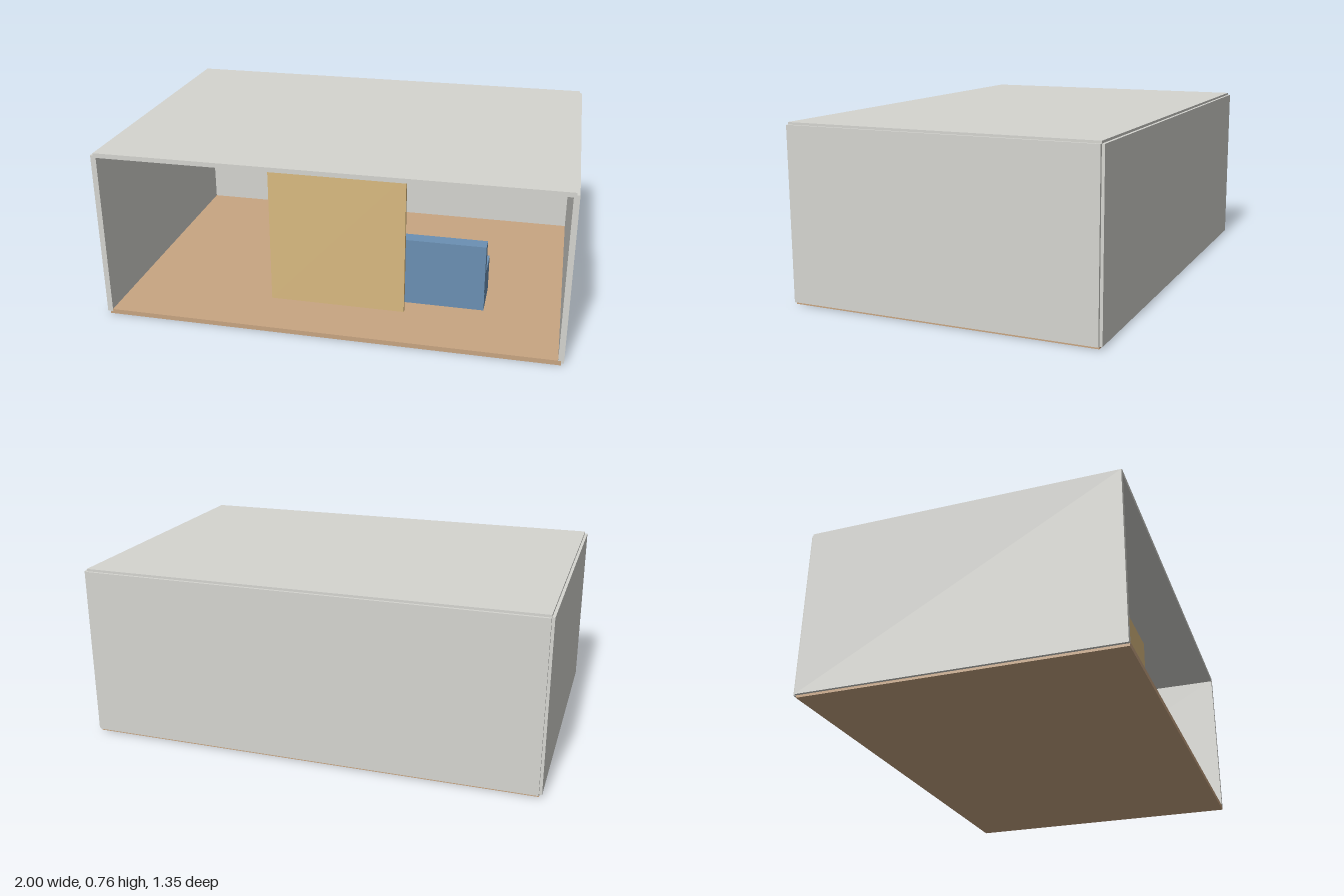
import * as THREE from 'three';

export function createModel() {
  const model = new THREE.Group();
  const paint = (color) => new THREE.MeshStandardMaterial({ color });
  const wall = paint(0xd5d5d0);
  const wood = paint(0xc8a582);
  const yellow = paint(0xdaba80);
  const blue = paint(0x6b90b4);
  const green = paint(0x4c7d72);

  // Box given by its [min, max] extent on each axis
  function block(name, [x0, x1], [y0, y1], [z0, z1], material, parent = model) {
    const mesh = new THREE.Mesh(new THREE.BoxGeometry(x1 - x0, y1 - y0, z1 - z0), material);
    mesh.position.set((x0 + x1) / 2, (y0 + y1) / 2, (z0 + z1) / 2);
    mesh.name = name;
    parent.add(mesh);
  }

  // Room shell, open at the front; panels meet on their centre lines
  const X = 0.988, BACK = -0.664, FRONT = 0.676, T = 0.012;
  block('floor', [-X, X], [0, 0.021], [BACK, FRONT], wood);
  block('ceiling', [-X, X], [0.742, 0.762], [BACK, FRONT], wall);
  block('backWall', [-X, X], [0.0105, 0.752], [BACK - T, BACK + T], wall);
  for (const [name, side] of [['leftWall', 1], ['rightWall', -1]]) {
    block(name, [side * X - T, side * X + T], [0.0105, 0.752], [BACK, FRONT], wall);
  }

  // Upright partition panel near the opening
  block('partitionPanel', [-0.304, 0.3], [0.036, 0.682], [0.43, 0.45], yellow);

  // Sofa with its back towards the opening
  const sofa = new THREE.Group();
  sofa.name = 'sofa';
  model.add(sofa);
  block('sofaSeat', [0.07, 0.64], [0.021, 0.19], [0.125, 0.335], blue, sofa);
  block('sofaBackrest', [0.07, 0.64], [0.113, 0.342], [0.29, 0.355], blue, sofa);

  // Low cabinet deeper in the room
  block('cabinet', [-0.46, -0.07], [0.021, 0.263], [-0.35, -0.15], green);

  return model;
}
